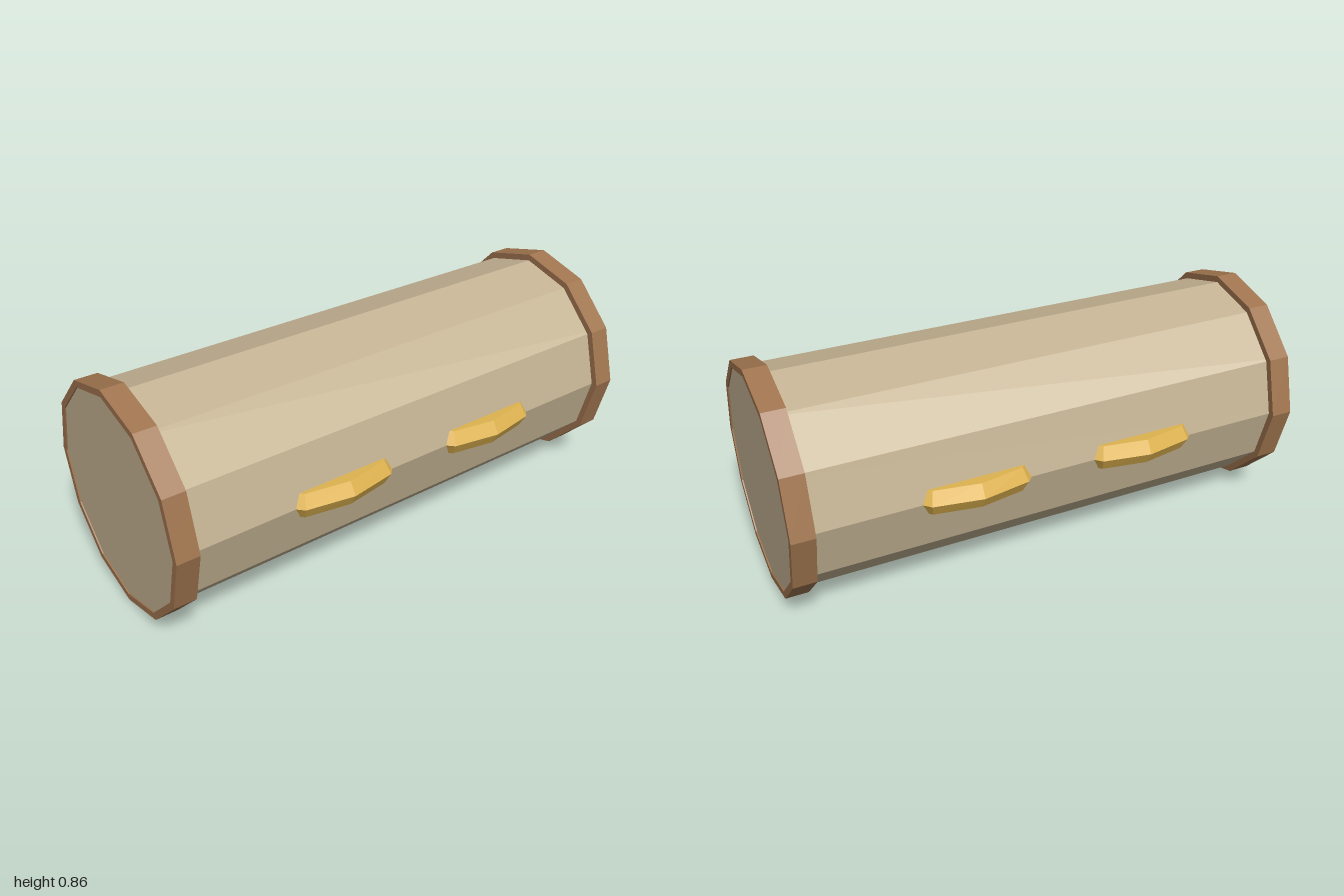
import * as THREE from 'three';

const SIDES = 12, AXIS_Y = 0.43;

function material(name, color) {
  const m = new THREE.MeshStandardMaterial({ color, flatShading: true });
  m.name = name;
  return m;
}

// Curved handle with a ridged face; its ends sink into the barrel
function handleGeometry() {
  // stations along x: [ridge x, ridge z, edge x, edge z]
  const stations = [
    [-0.257, 0.35, -0.21, 0.36], [-0.182, 0.43, -0.17, 0.405], [0, 0.463, 0, 0.435],
    [0.182, 0.43, 0.17, 0.405], [0.257, 0.35, 0.21, 0.36],
  ];
  const h = 0.048, pos = [], index = [], rows = 5;
  for (const [rx, rz, ex, ez] of stations) {
    pos.push(ex, -h, 0.34, ex, -h, ez, rx, 0, rz, ex, h, ez, ex, h, 0.34);
  }
  for (let i = 0; i < stations.length - 1; i++) {
    for (let j = 0; j < rows - 1; j++) {
      const a = i * rows + j, b = a + rows;
      index.push(a, b, b + 1, a, b + 1, a + 1);
    }
  }
  const g = new THREE.BufferGeometry();
  g.setAttribute('position', new THREE.Float32BufferAttribute(pos, 3));
  g.setIndex(index);
  const flat = g.toNonIndexed();
  flat.computeVertexNormals();
  return flat;
}

export function createModel() {
  const group = new THREE.Group();
  group.name = 'barrel';
  const tan = material('tan', 0xc4b393);
  const brown = material('brown', 0xa0754f);
  const gold = material('gold', 0xdfb350);
  gold.side = THREE.DoubleSide;

  const add = (name, geometry, mat) => {
    const mesh = new THREE.Mesh(geometry, mat);
    mesh.name = name;
    mesh.position.y = AXIS_Y;
    group.add(mesh);
    return mesh;
  };

  // Body lying along x
  const body = new THREE.CylinderGeometry(0.405, 0.405, 1.99, SIDES);
  body.rotateZ(Math.PI / 2);
  add('body', body, tan);

  // Raised rim at each end
  const profile = [[0.404, -0.0425], [0.43, -0.0425], [0.43, 0.0425], [0.404, 0.0425], [0.404, -0.0425]]
    .map(([r, y]) => new THREE.Vector2(r, y));
  const rim = new THREE.LatheGeometry(profile, SIDES);
  rim.rotateZ(Math.PI / 2);
  for (const s of [1, -1]) {
    add(s > 0 ? 'leftRim' : 'rightRim', rim, brown).position.x = s * 0.9575;
  }

  // Two handles on the front and two on the back
  const handle = handleGeometry();
  for (const side of ['front', 'back']) {
    for (const x of [-0.333, 0.333]) {
      const mesh = add(side + 'Handle', handle, gold);
      mesh.position.x = x;
      if (side === 'back') mesh.rotation.y = Math.PI;
    }
  }
  return group;
}
